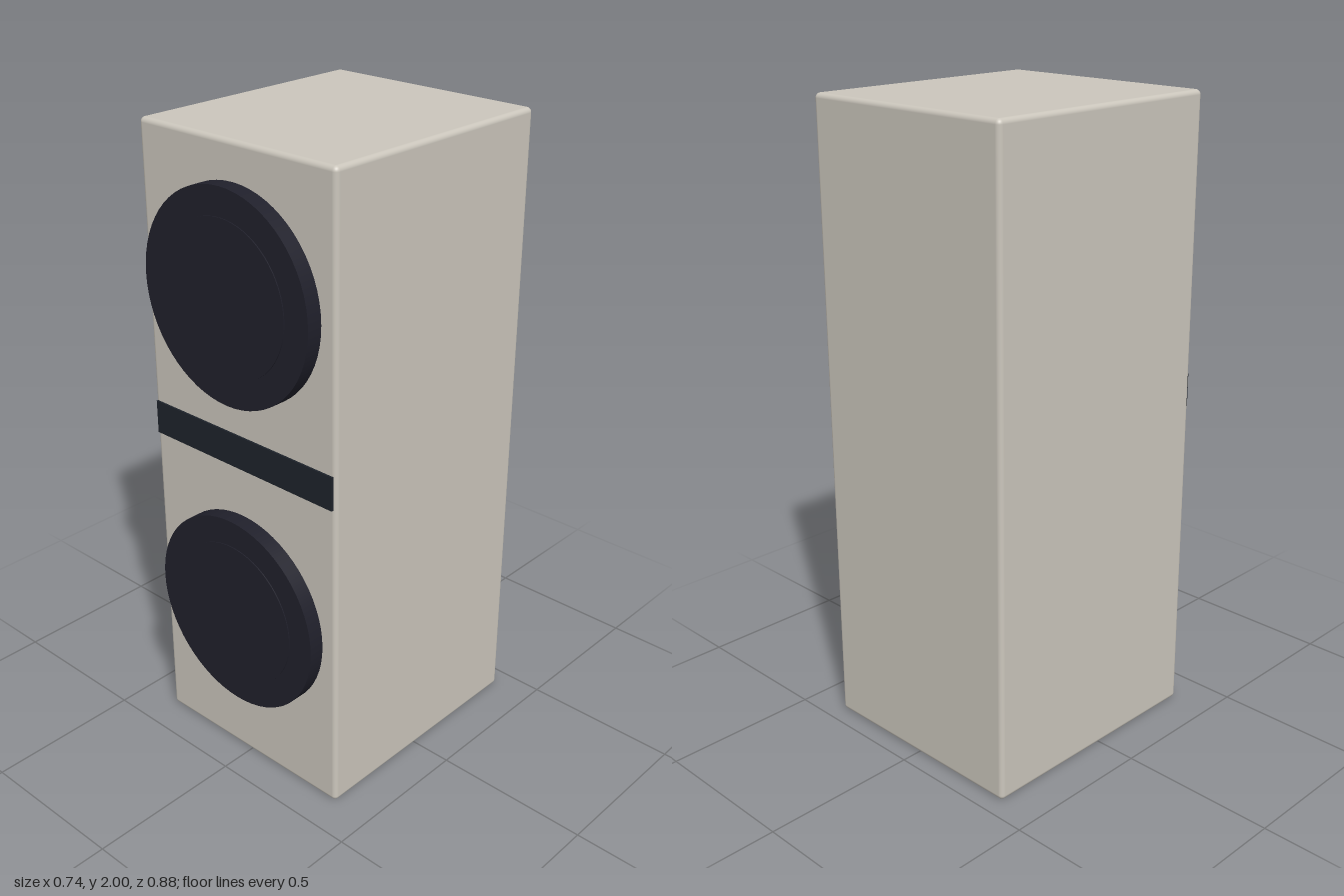
import * as THREE from 'three';
import { RoundedBoxGeometry } from 'three/addons/geometries/RoundedBoxGeometry.js';

const cabinetColor = new THREE.MeshStandardMaterial({ name: 'warm grey', color: 0xcbc6bc });
const driverColor = new THREE.MeshStandardMaterial({ name: 'near black', color: 0x20202b });
const stripColor = new THREE.MeshStandardMaterial({ name: 'dark slate', color: 0x1e232b });

const FRONT = 0.385; // z of the cabinet's front face

function add(parent, name, geometry, material, x, y, z) {
  const mesh = new THREE.Mesh(geometry, material);
  mesh.name = name;
  mesh.position.set(x, y, z);
  parent.add(mesh);
  return mesh;
}

// Disc whose flat face looks along +z
function disc(radius, depth) {
  return new THREE.CylinderGeometry(radius, radius, depth, 64).rotateX(Math.PI / 2);
}

export function createModel() {
  const model = new THREE.Group();
  model.name = 'speaker';

  // Cabinet with slightly softened edges
  add(model, 'cabinet', new RoundedBoxGeometry(0.74, 2, 0.825, 4, 0.015), cabinetColor, 0, 1, FRONT - 0.4125);

  // Upper and lower round drivers, each with a slightly raised centre
  for (const [name, y] of [['upperDriver', 1.57], ['lowerDriver', 0.555]]) {
    const driver = new THREE.Group();
    driver.name = name;
    driver.position.set(0, y, FRONT);
    add(driver, 'driverRim', disc(0.318, 0.06), driverColor, 0, 0, 0.02);
    add(driver, 'driverCone', disc(0.233, 0.02), driverColor, 0, 0, 0.043);
    model.add(driver);
  }

  // Thin strip across the front between the drivers
  add(model, 'frontStrip', new THREE.BoxGeometry(0.72, 0.106, 0.008), stripColor, 0, 1.084, FRONT + 0.002);

  return model;
}
